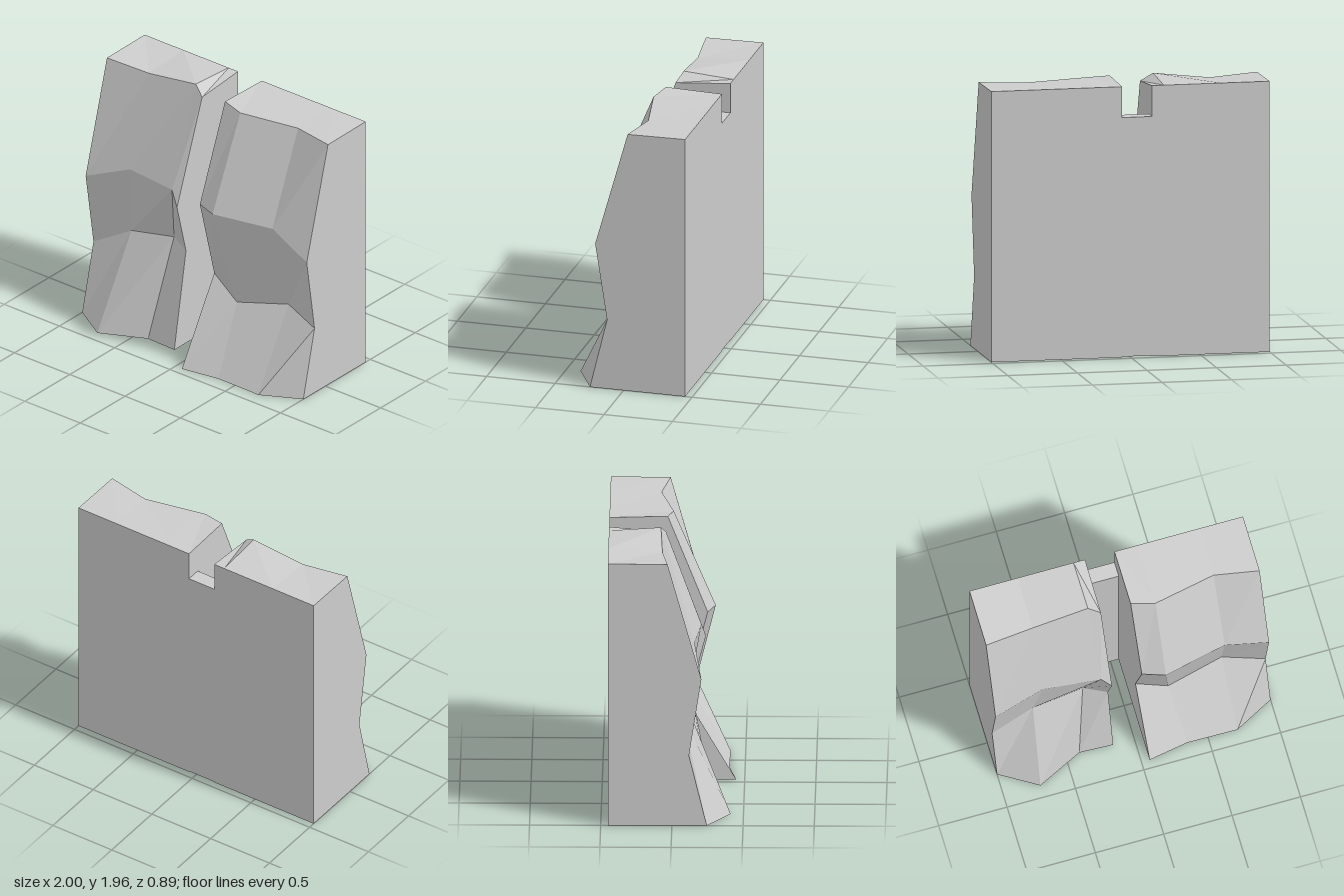
import * as THREE from 'three';

const BACK = -0.45, TOP = 1.93;

// Rock face points [x, y, z], four columns per row, from the ground up
const RIGHT_ROWS = [
  [[-1, 0, 0.245], [-0.73, 0, 0.41], [-0.4, 0, 0.25], [-0.155, 0, 0.26]],
  [[-1, 0.515, 0.12], [-0.69, 0.695, 0.08], [-0.32, 0.765, 0.06], [-0.155, 0.74, 0.13]],
  [[-1, 1.08, 0.207], [-0.64, 1.235, 0.155], [-0.225, 1.235, 0.2], [-0.155, 1.13, 0.23]],
  [[-1, 1.925, -0.03], [-0.65, 1.905, -0.07], [-0.24, 1.955, -0.085], [-0.155, 1.895, -0.05]],
];
const LEFT_ROWS = [
  [[0.06, 0, 0.44], [0.35, 0, 0.39], [0.715, 0, 0.395], [1, 0, 0.245]],
  [[0.06, 0.615, 0.08], [0.29, 0.475, 0.11], [0.7, 0.57, 0.04], [1, 0.515, 0.12]],
  [[0.06, 1.235, 0.24], [0.22, 1.235, 0.295], [0.68, 1.235, 0.195], [1, 1.08, 0.207]],
  [[0.06, 1.94, -0.04], [0.23, 1.925, 0], [0.68, 1.92, -0.09], [1, 1.925, -0.03]],
];

// Closed block: rows wrap round the front, top, back and base; fans cap the ends
function cliffGeometry(front) {
  const rows = [
    ...front,
    front[3].map(([x]) => [x, TOP, BACK]),
    front[0].map(([x]) => [x, 0, BACK]),
  ];
  // Keep the back edges aligned so the back and base stay flat
  const pos = [];
  const tri = (...points) => points.forEach((p) => pos.push(...p));
  const n = rows.length;
  for (let r = 0; r < n; r++) {
    const low = rows[r], high = rows[(r + 1) % n];
    for (let c = 0; c < 3; c++) {
      const a = low[c], b = low[c + 1], d = high[c + 1], e = high[c];
      if (r === 3) {
        tri(a, b, e);
        tri(b, d, e);
      } else {
        tri(a, b, d);
        tri(a, d, e);
      }
    }
    // End caps fan out from the middle of the back edge
    const hubL = [low[0][0], 0.9, BACK], hubR = [low[3][0], 0.9, BACK];
    if (r !== 4) {
      tri(hubL, low[0], high[0]);
      tri(hubR, high[3], low[3]);
    }
  }
  const geometry = new THREE.BufferGeometry();
  geometry.setAttribute('position', new THREE.Float32BufferAttribute(pos, 3));
  geometry.computeVertexNormals();
  return geometry;
}

export function createModel() {
  const rock = new THREE.MeshStandardMaterial({ color: 0xcccccc });
  rock.name = 'rockGrey';
  rock.flatShading = true;

  const group = new THREE.Group();
  group.name = 'splitCliff';
  const add = (name, geometry) => {
    const mesh = new THREE.Mesh(geometry, rock);
    mesh.name = name;
    group.add(mesh);
    return mesh;
  };

  add('rightCliff', cliffGeometry(RIGHT_ROWS));
  add('leftCliff', cliffGeometry(LEFT_ROWS));

  // Thin wall closing the back of the gap
  const wall = add('gapWall', new THREE.BoxGeometry(0.215, 1.705, 0.108));
  wall.position.set(-0.0475, 0.8575, BACK + 0.054);
  return group;
}
